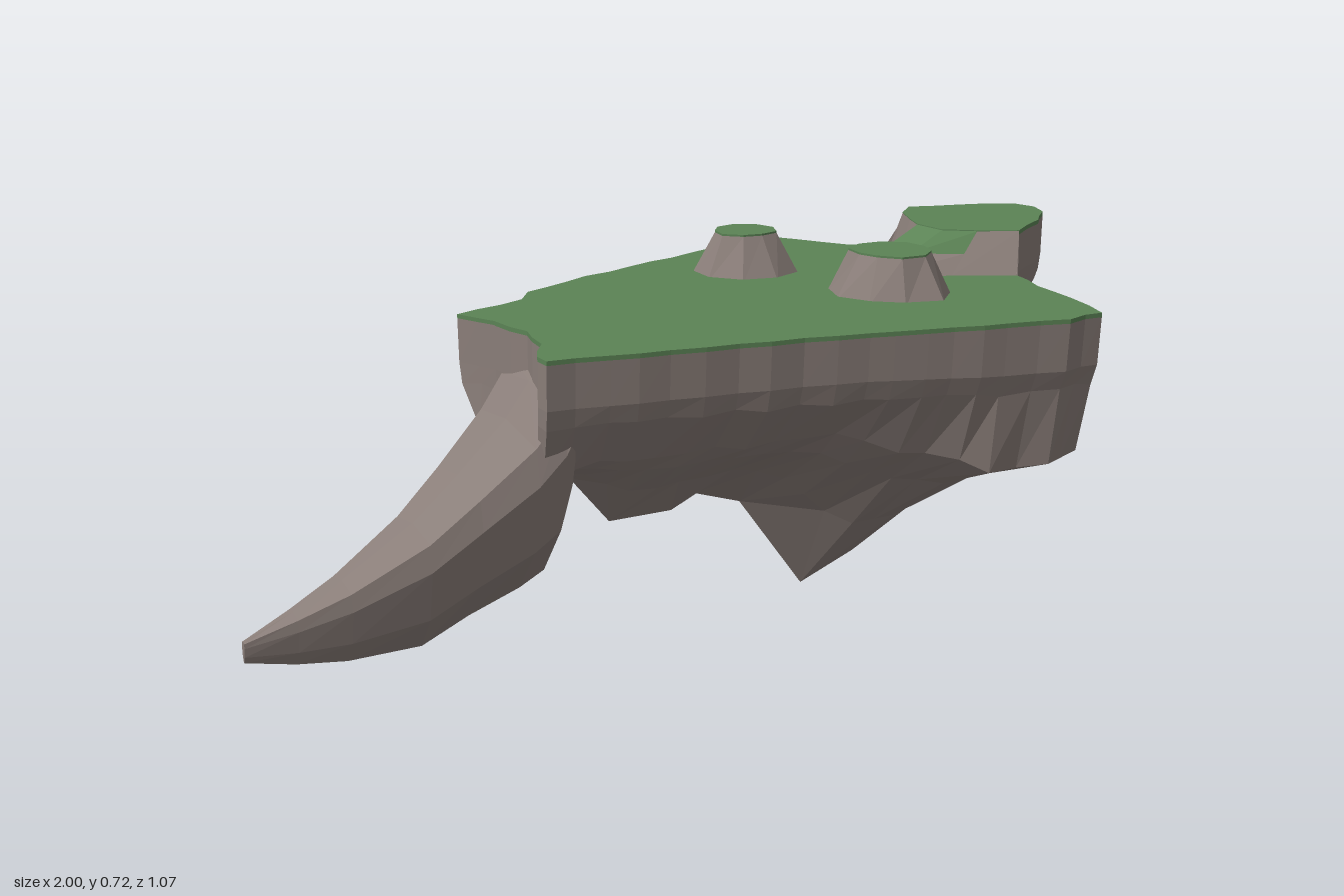
import * as THREE from 'three';

const grass = new THREE.MeshStandardMaterial({ color: 0x5b8355, side: THREE.DoubleSide });
grass.name = 'grass green';
const rock = new THREE.MeshStandardMaterial({ color: 0x8a7e79, side: THREE.DoubleSide });
rock.name = 'rock grey brown';

const GROUND = 0.636, PLATEAU = 0.722;

// Small seeded noise in -1..1
let seed = 7;
const rnd = () => ((seed = (seed * 16807) % 2147483647) / 2147483647) * 2 - 1;
const lerp = (a, b, t) => a + (b - a) * t;

// Faceted surface from rows of [x, y, z] points, the rows running downwards
function loft(rows, closed = true) {
  const pos = [];
  for (let r = 0; r < rows.length - 1; r++) {
    const a = rows[r], b = rows[r + 1], n = a.length;
    for (let i = 0; i < (closed ? n : n - 1); i++) {
      const j = (i + 1) % n;
      pos.push(...b[i], ...b[j], ...a[j], ...b[i], ...a[j], ...a[i]);
    }
  }
  const g = new THREE.BufferGeometry();
  g.setAttribute('position', new THREE.Float32BufferAttribute(pos, 3));
  g.computeVertexNormals();
  return g;
}

// Thin flat slab over a plan outline of [x, z] points, top at height y
function slab(points, y, depth) {
  const shape = new THREE.Shape(points.map(([x, z]) => new THREE.Vector2(x, -z)));
  const g = new THREE.ExtrudeGeometry(shape, { depth, bevelEnabled: false });
  return g.rotateX(-Math.PI / 2).translate(0, y - depth, 0);
}

// How the cliff falls below the rim: wall foot height and inset, then lower shoulder inset and height
const zones = {
  west: [0.5, 0.05, 0.28, 0.41],
  front: [0.5, 0.04, 0.26, 0.41],
  bulge: [0.49, 0.04, 0.09, 0.335],
  bay: [0.49, 0.04, 0.14, 0.4],
  cape: [0.59, 0.03, 0.28, 0.505],
  back: [0.5, 0.08, 0.18, 0.35],
};

// Plan outline of the island, anticlockwise from the front left corner
const rim = [
  [-0.44, 0.38, 'west'], [-0.2, 0.405, 'west'], [0, 0.43, 'front'], [0.2, 0.455, 'front'],
  [0.48, 0.505, 'bulge'], [0.61, 0.53, 'bulge'], [0.66, 0.51, 'bulge'], [0.7, 0.51, 'bulge'],
  [0.73, 0.37, 'bulge'], [0.74, 0.24, 'bay'], [0.765, 0.135, 'bay'], [0.8, 0.085, 'cape'],
  [0.91, 0, 'cape'], [0.98, -0.08, 'cape'], [1, -0.14, 'cape'], [0.985, -0.19, 'cape'],
  [0.92, -0.225, 'cape'], [0.75, -0.268, 'cape'], [0.7, -0.29, 'bay'], [0.63, -0.33, 'bay'],
  [0.56, -0.44, 'back'], [0.51, -0.535, 'back'], [0.36, -0.445, 'back'], [0.15, -0.36, 'front'],
  [0.02, -0.3, 'front'], [-0.1, -0.25, 'west'], [-0.22, -0.19, 'west'], [-0.26, -0.13, 'west'],
  [-0.43, -0.06, 'west'], [-0.39, 0.03, 'west'], [-0.37, 0.14, 'west'], [-0.39, 0.25, 'west'],
  [-0.44, 0.34, 'west'],
];

// Lowest line of the underside
const keel = [
  [-0.36, 0.33, 0.14], [-0.28, 0.33, 0.13], [-0.18, 0.22, 0.1], [-0.02, 0.21, 0.06],
  [0.04, 0.235, 0.05], [0.15, 0.2, 0.04], [0.3, 0, 0.04], [0.44, 0.045, 0.02],
  [0.55, 0.14, 0], [0.72, 0.31, -0.05],
];

// Point on the keel line at x
function keelAt(x) {
  const i = Math.max(1, keel.findIndex((k) => k[0] >= x));
  const a = keel[i - 1], b = keel[i];
  const t = THREE.MathUtils.clamp((x - a[0]) / (b[0] - a[0]), 0, 1);
  return a.map((v, n) => lerp(v, b[n], t));
}

// Break long edges into a ragged rim, blending the cliff shape along them
function raggedRim() {
  const out = [];
  rim.forEach(([x, z, zone], i) => {
    const [x2, z2, zone2] = rim[(i + 1) % rim.length];
    const steps = Math.max(1, Math.round(Math.hypot(x2 - x, z2 - z) / 0.06));
    for (let s = 0; s < steps; s++) {
      const t = s / steps, j = s ? 0.007 : 0;
      const cliff = zones[zone].map((v, n) => lerp(v, zones[zone2][n], t));
      out.push([lerp(x, x2, t) + rnd() * j, lerp(z, z2, t) + rnd() * j, zone, cliff]);
    }
  });
  return out;
}

// Rock body: rim wall, ledge and crags gathering on the keel
function bodyGeometry(outline) {
  const rows = [[], [], [], [], [], [], []];
  for (const [x, z, zone, [wall, wallIn, lowIn, low]] of outline) {
    const kx = Math.min(x * 0.85, 0.72);
    const k = keelAt(kx), fall = low - k[1];
    const put = (row, f, y) => rows[row].push([lerp(x, k[0], f), y, lerp(z, k[2], f)]);
    put(0, 0, (zone === 'cape' ? PLATEAU : GROUND) - 0.008);
    put(1, wallIn * 0.3, wall + 0.04);
    put(2, wallIn, wall + rnd() * 0.006);
    put(3, lowIn + rnd() * 0.015, low + rnd() * 0.01);
    put(4, Math.max(0.37, lowIn + 0.14) + rnd() * 0.025, k[1] + fall * 0.8);
    put(5, 0.7 + rnd() * 0.04, k[1] + fall * 0.45);
    rows[6].push(keel.reduce((a, b) => (Math.abs(b[0] - kx) < Math.abs(a[0] - kx) ? b : a)));
  }
  return loft(rows);
}

// Curved horn of rock reaching out to the left
function hornGeometry() {
  // x, back z, front z, top y, bottom y
  const stations = [
    [-0.36, -0.03, 0.345, 0.57, 0.3], [-0.385, -0.02, 0.345, 0.55, 0.19],
    [-0.44, 0.005, 0.345, 0.485, 0.165], [-0.55, 0.065, 0.335, 0.395, 0.13],
    [-0.65, 0.115, 0.33, 0.32, 0.09], [-0.8, 0.19, 0.316, 0.24, 0.09],
    [-0.9, 0.237, 0.306, 0.2, 0.103], [-1, 0.283, 0.297, 0.165, 0.125],
  ];
  const section = [
    [0, 0.75], [0.2, 0.97], [0.55, 1], [0.96, 0.92], [1, 0.7],
    [0.92, 0.28], [0.7, 0], [0.4, 0.08], [0.12, 0.4],
  ];
  const rows = stations.map(([x, zb, zf, yt, yb]) =>
    section.map(([u, v]) => [x, lerp(yb, yt, v), lerp(zb, zf, u)]));
  const root = section.map(() => [-0.33, 0.38, 0.15]);
  const tip = section.map(() => [-1, 0.145, 0.29]);
  return loft([root, ...rows, tip].map((row) => row.reverse()));
}

// Rocky mound with a grassy cap
function mound(x, z, base, top, sides) {
  const group = new THREE.Group();
  group.name = 'mound';
  const lower = [], upper = [];
  for (let i = 0; i < sides; i++) {
    const a = (-i / sides) * Math.PI * 2;
    const at = (r, y) => [x + Math.cos(a) * r, y, z + Math.sin(a) * r];
    lower.push(at(base * (1 + rnd() * 0.14), GROUND - 0.01));
    upper.push(at(top * (1 + rnd() * 0.14), PLATEAU - 0.004));
  }
  const cap = upper.map((p) => [p[0], p[2]]);
  add(group, 'moundSide', loft([upper, lower]), rock);
  add(group, 'moundCap', slab(cap, PLATEAU, 0.006), grass);
  return group;
}

function add(parent, name, geometry, material) {
  const mesh = new THREE.Mesh(geometry, material);
  mesh.name = name;
  parent.add(mesh);
}

export function createModel() {
  seed = 7;
  const island = new THREE.Group();
  island.name = 'floatingIsland';

  const outline = raggedRim();
  add(island, 'rockBody', bodyGeometry(outline), rock);
  add(island, 'rockHorn', hornGeometry(), rock);

  // Raised cape: inner edge at the top and its foot on the meadow, back to front
  const edge = [[0.75, -0.268], [0.7, -0.215], [0.67, -0.14], [0.65, -0.08], [0.66, 0], [0.72, 0.045], [0.8, 0.085]];
  const foot = [[0.71, -0.28], [0.67, -0.21], [0.64, -0.135], [0.5, -0.09], [0.5, 0.005], [0.64, 0.07], [0.765, 0.13]];
  const first = outline.findIndex((p) => p[2] === 'cape');
  const end = first + outline.filter((p) => p[2] === 'cape').length;
  const inland = [...foot].reverse().slice(1);
  add(island, 'meadow', slab([...outline.slice(0, first), ...inland, ...outline.slice(end)], GROUND, 0.009), grass);
  add(island, 'capeMeadow', slab([...outline.slice(first, end), ...edge.slice(1, -1)], PLATEAU, 0.009), grass);

  // Slopes between edge and foot, from depth t0 to t1 down the slope
  const strip = (from, to, t0, t1) => {
    const row = (t) => edge.slice(from, to).map(([x, z], i) => [
      lerp(x, foot[from + i][0], t), lerp(PLATEAU, GROUND, t) - 0.002, lerp(z, foot[from + i][1], t),
    ]);
    return loft([row(t0), row(t1)], false);
  };
  add(island, 'backStep', strip(0, 4, 0, 1), rock);
  add(island, 'ramp', strip(3, 5, 0, 1), grass);
  add(island, 'frontBank', strip(4, 6, 0, 0.5), grass);
  add(island, 'frontStep', strip(4, 6, 0.5, 1), rock);
  add(island, 'frontCliff', strip(5, 7, 0, 1), rock);

  island.add(mound(0.285, -0.19, 0.115, 0.065, 9));
  island.add(mound(0.445, 0.14, 0.13, 0.085, 10));
  return island;
}
